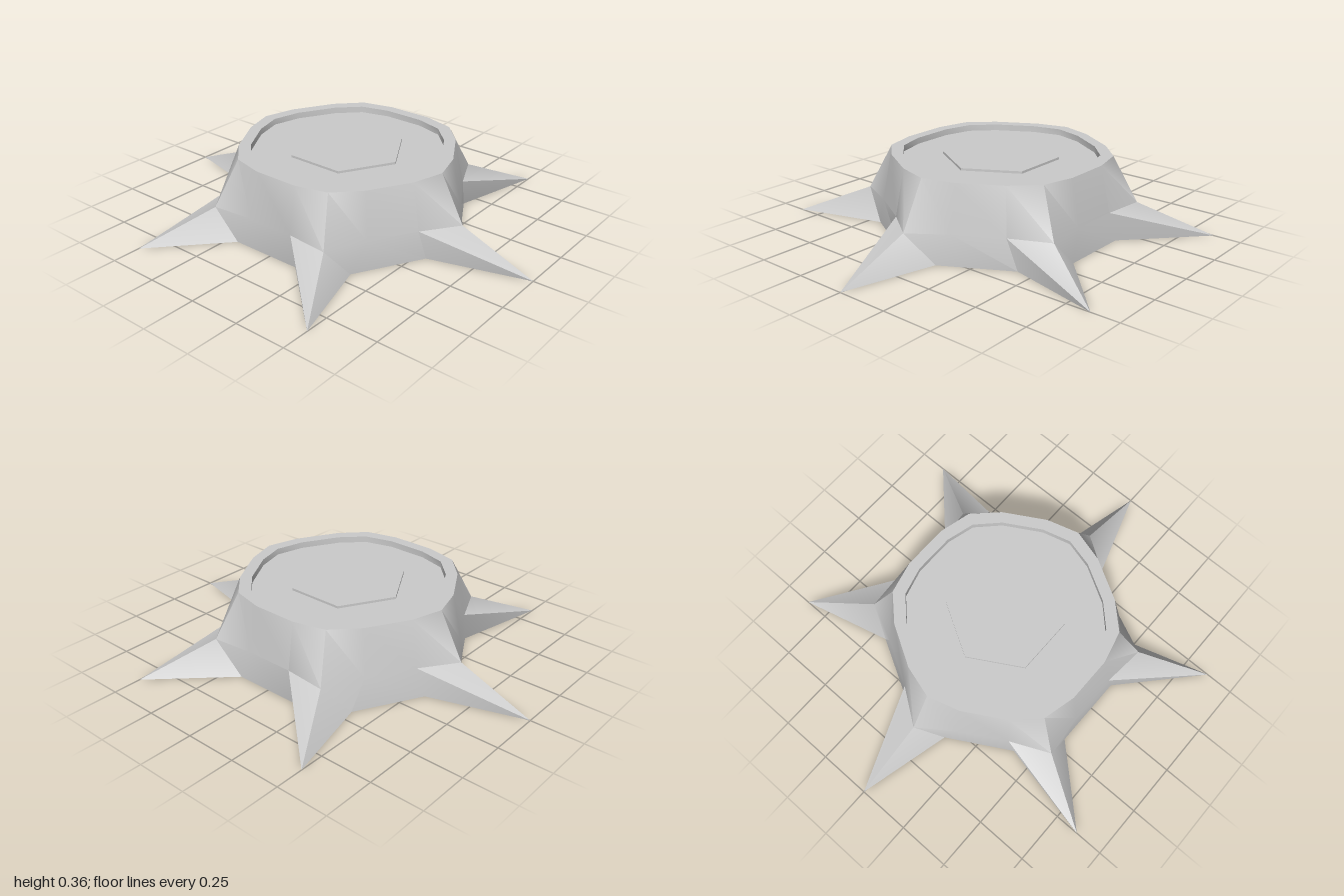
import * as THREE from 'three';
import { toCreasedNormals } from 'three/addons/utils/BufferGeometryUtils.js';

const COUNT = 18; // three outline points per root: tip, then the two valley points
const material = new THREE.MeshStandardMaterial({ color: 0xcccccc });

// Six-cornered outline with a chamfered point pair between corners
function ring(y, corner, valley) {
  return Array.from({ length: COUNT }, (_, i) => {
    const a = THREE.MathUtils.degToRad(Math.floor(i / 3) * 60 + [0, 17.5, 42.5][i % 3]);
    const r = i % 3 === 0 ? corner : valley;
    return new THREE.Vector3(Math.cos(a) * r, y, Math.sin(a) * r);
  });
}

// Skin a list of rings, sharp only at strong folds
function skin(rings, crease) {
  const points = [];
  for (let k = 0; k < rings.length - 1; k++) {
    for (let i = 0; i < COUNT; i++) {
      const j = (i + 1) % COUNT;
      const a = rings[k][i], b = rings[k][j], c = rings[k + 1][j], d = rings[k + 1][i];
      points.push(a, d, c, a, c, b);
    }
  }
  const geometry = new THREE.BufferGeometry().setFromPoints(points);
  geometry.computeVertexNormals();
  return toCreasedNormals(geometry, crease);
}

// Flat cap closing a ring
function cap(outline, up) {
  const centre = new THREE.Vector3(0, outline[0].y, 0);
  const points = [];
  outline.forEach((p, i) => {
    const q = outline[(i + 1) % COUNT];
    points.push(centre, ...(up ? [q, p] : [p, q]));
  });
  const geometry = new THREE.BufferGeometry().setFromPoints(points);
  geometry.computeVertexNormals();
  return geometry;
}

export function createModel() {
  const group = new THREE.Group();
  const add = (name, geometry) => {
    const mesh = new THREE.Mesh(geometry, material);
    mesh.name = name;
    group.add(mesh);
    return mesh;
  };

  // Ground outline: slightly uneven valleys between six pointed roots
  const valleys = [
    [0.545, 0.13], [0.37, 0.44], [0.15, 0.545], [-0.2, 0.545],
    [-0.4, 0.4], [-0.565, 0.11], [-0.555, -0.14], [-0.39, -0.44],
    [-0.16, -0.55], [0.17, -0.55], [0.39, -0.42], [0.565, -0.11],
  ];
  const foot = ring(0, 1, 0.57);
  valleys.forEach(([x, z], n) => foot[Math.floor(n / 2) * 3 + 1 + (n % 2)].set(x, 0, z));

  // Bark with flared roots
  const top = ring(0.36, 0.525, 0.505);
  add('barkAndRoots', skin([foot, ring(0.143, 0.642, 0.55), top], 0.8));

  // Rim and the shallow recess inside it
  const rimInner = ring(0.36, 0.465, 0.45);
  const floor = ring(0.33, 0.465, 0.45);
  add('rim', skin([top, rimInner, floor], 0.6));
  add('cutSurface', cap(floor, true));
  add('underside', cap(foot, false));

  // Slightly raised six-sided heartwood plate
  const heart = add('heartwood', new THREE.CylinderGeometry(0.275, 0.275, 0.012, 6).toNonIndexed());
  heart.geometry.computeVertexNormals();
  heart.rotation.y = Math.PI / 6;
  heart.position.y = 0.335;
  return group;
}
